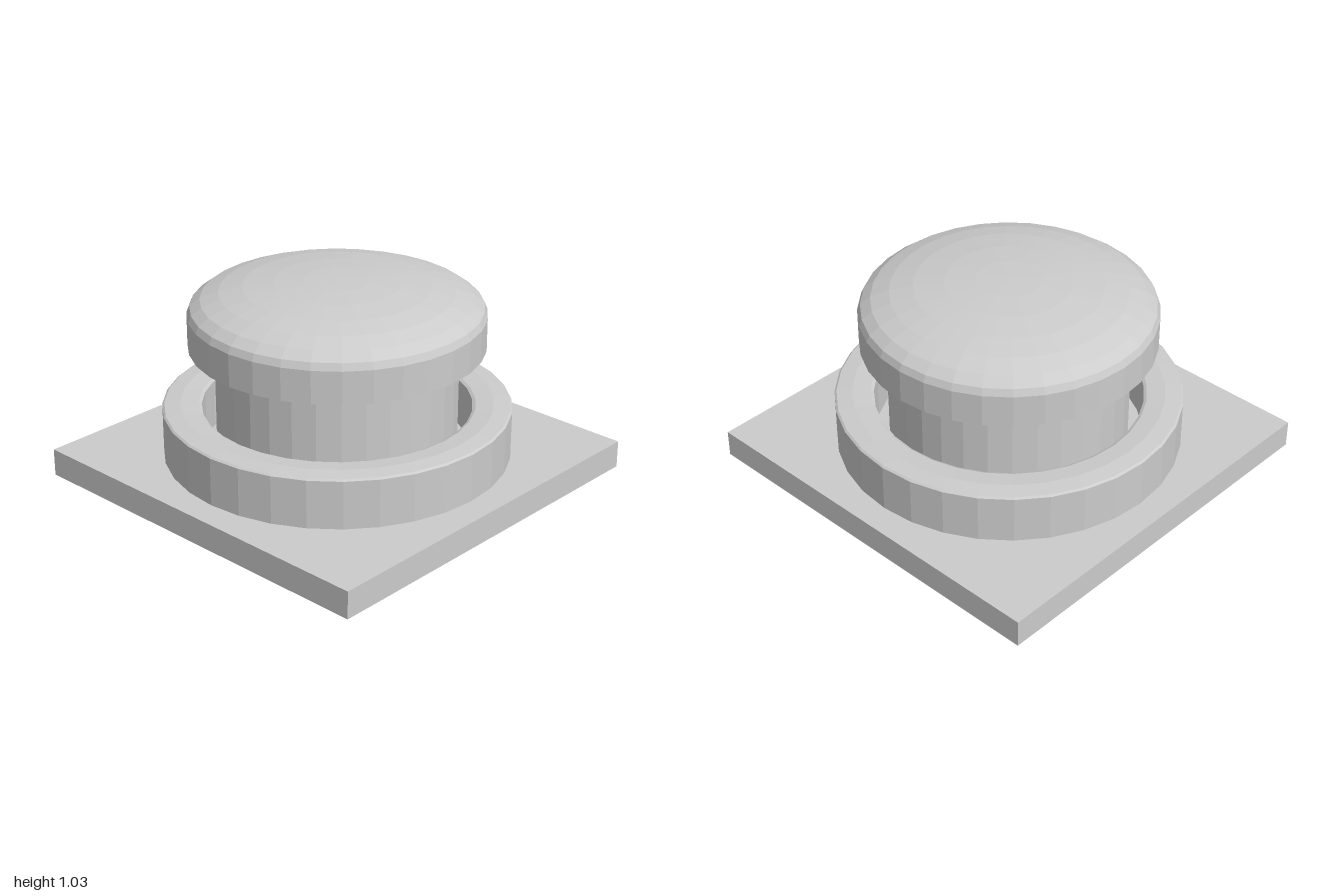
import * as THREE from 'three';

const SIDES = 32;

export function createModel() {
  const group = new THREE.Group();
  const material = new THREE.MeshStandardMaterial({ color: 0xcccccc, flatShading: true });

  const add = (name, geometry, y = 0) => {
    const mesh = new THREE.Mesh(geometry, material);
    mesh.name = name;
    mesh.position.y = y;
    group.add(mesh);
  };
  // Profiles run from bottom to top along the outside, as [radius, height]
  const lathe = (points) =>
    new THREE.LatheGeometry(points.map(([r, y]) => new THREE.Vector2(r, y)), SIDES);

  // Square mounting plate
  add('basePlate', new THREE.BoxGeometry(2, 0.14, 2), 0.07);

  // Collar with a slightly crowned top and an open centre
  add('collarRing', lathe([
    [0.67, 0.14], [0.865, 0.14], [0.865, 0.385], [0.855, 0.393],
    [0.775, 0.4], [0.685, 0.393], [0.67, 0.385], [0.67, 0.14],
  ]));

  // Plunger standing inside the collar with a gap all round
  add('plunger', new THREE.CylinderGeometry(0.6, 0.6, 0.57, SIDES), 0.425);

  // Domed push cap
  add('buttonCap', lathe([
    [0, 0.705], [0.73, 0.705], [0.73, 0.87], [0.715, 0.905], [0.665, 0.943],
    [0.575, 0.977], [0.46, 1.003], [0.31, 1.022], [0.16, 1.032], [0, 1.035],
  ]));

  return group;
}
